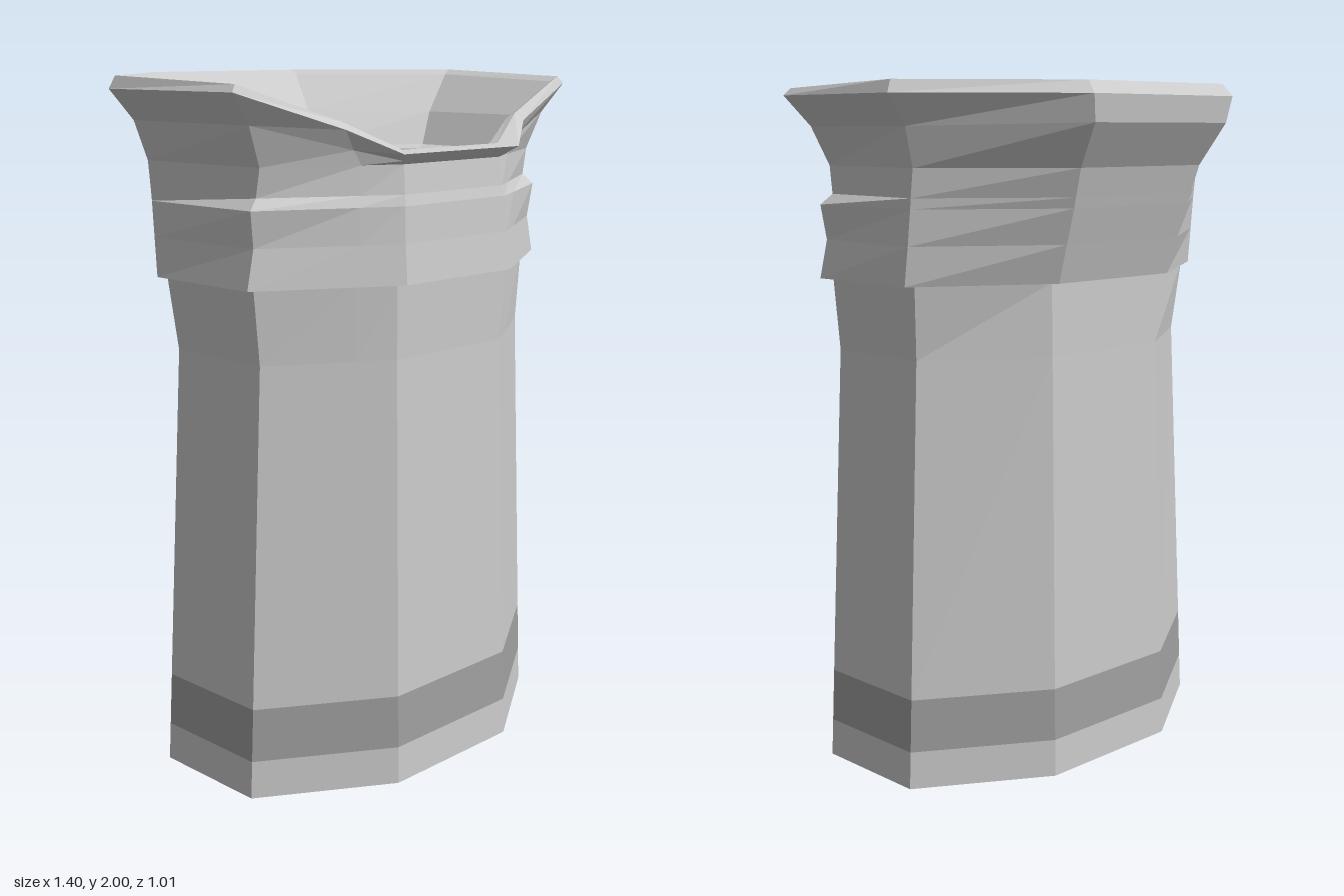
import * as THREE from 'three';

// A ring is ten points: the +x half from front to back, then its mirror image.
function mirror(half) {
  return [...half, ...half.slice().reverse().map(([x, y, z]) => [-x, y, z])];
}

// Level octagon: front corner, side-front corner, side-back corner, back corner as [x, z].
function ring(y, front, sideFront, sideBack, back) {
  const mid = [0, 1].map(i => front[i] + (sideFront[i] - front[i]) * 0.3);
  return mirror([front, mid, sideFront, sideBack, back].map(([x, z]) => [x, y, z]));
}

// Skin consecutive rings with flat-shaded quads.
function loft(name, rings, color = 0xcccccc) {
  const pos = [];
  for (let r = 0; r < rings.length - 1; r++) {
    const a = rings[r], b = rings[r + 1];
    for (let i = 0; i < a.length; i++) {
      const j = (i + 1) % a.length;
      pos.push(...a[i], ...a[j], ...b[j], ...a[i], ...b[j], ...b[i]);
    }
  }
  const geo = new THREE.BufferGeometry();
  geo.setAttribute('position', new THREE.Float32BufferAttribute(pos, 3));
  geo.computeVertexNormals();
  const mesh = new THREE.Mesh(geo, new THREE.MeshStandardMaterial({ color, flatShading: true }));
  mesh.name = name;
  return mesh;
}

// Blend two rings point by point.
const blend = (a, b, t) => a.map((p, i) => p.map((v, k) => v + (b[i][k] - v) * t));

export function createModel() {
  const group = new THREE.Group();
  group.name = 'cuff';

  // Outer sleeve
  const base = ring(0, [0.24, 0.505], [0.605, 0.275], [0.605, -0.09], [0.24, -0.32]);
  const neck = ring(1.24, [0.22, 0.465], [0.545, 0.265], [0.545, -0.075], [0.22, -0.285]);
  const sleeveTop = ring(1.45, [0.22, 0.465], [0.565, 0.265], [0.565, -0.095], [0.22, -0.282]);
  const bandLow = blend(base, neck, 0.11 / 1.24);
  const bandHigh = blend(base, neck, 0.265 / 1.24);

  // Collar, with a small fold on the front corners and sides
  const collar = [
    ring(1.45, [0.22, 0.5], [0.6, 0.28], [0.6, -0.095], [0.23, -0.32]),
    ring(1.56, [0.215, 0.488], [0.575, 0.278], [0.597, -0.107], [0.235, -0.354]),
    ring(1.66, [0.21, 0.482], [0.59, 0.285], [0.595, -0.117], [0.24, -0.386]),
    ring(1.69, [0.205, 0.474], [0.557, 0.27], [0.595, -0.12], [0.243, -0.395]),
    ring(1.77, [0.2, 0.465], [0.555, 0.283], [0.595, -0.13], [0.25, -0.42]),
  ];

  // Flared rim, low at the front and high at the back
  const flare = mirror([[0.215, 1.78, 0.478], [0.33, 1.81, 0.405], [0.605, 1.88, 0.3],
    [0.63, 1.88, -0.143], [0.275, 1.89, -0.495]]);
  const lip = mirror([[0.24, 1.8, 0.503], [0.37, 1.865, 0.415], [0.68, 1.965, 0.323],
    [0.7, 1.965, -0.157], [0.29, 1.965, -0.505]]);
  const crest = mirror([[0.2, 1.808, 0.458], [0.36, 1.885, 0.39], [0.662, 1.985, 0.313],
    [0.683, 2, -0.15], [0.28, 2, -0.475]]);
  const innerRim = mirror([[0.19, 1.8, 0.43], [0.34, 1.87, 0.375], [0.635, 1.97, 0.303],
    [0.65, 1.985, -0.135], [0.265, 1.985, -0.44]]);

  // Inside funnel, ledge and lining
  const funnel = mirror([[0.19, 1.785, 0.428], [0.28, 1.81, 0.37], [0.53, 1.87, 0.267],
    [0.53, 1.87, -0.095], [0.22, 1.88, -0.34]]);
  const ledgeOuter = ring(1.77, [0.19, 0.425], [0.465, 0.24], [0.465, -0.065], [0.185, -0.25]);
  const ledgeInner = ring(1.76, [0.17, 0.375], [0.413, 0.21], [0.413, -0.035], [0.17, -0.2]);
  const liningMid = ring(1.24, [0.19, 0.405], [0.48, 0.235], [0.48, -0.045], [0.19, -0.225]);
  const liningBase = ring(0, [0.21, 0.445], [0.54, 0.245], [0.54, -0.06], [0.21, -0.26]);

  group.add(
    loft('hem', [liningBase, base, bandLow]),
    loft('darkBand', [bandLow, bandHigh], 0xa0a0a0),
    loft('sleeve', [bandHigh, neck, sleeveTop]),
    loft('collar', [sleeveTop, ...collar]),
    loft('flaredRim', [collar[collar.length - 1], flare, lip, crest, innerRim]),
    loft('funnel', [innerRim, funnel, ledgeOuter, ledgeInner]),
    loft('lining', [ledgeInner, liningMid, liningBase]),
  );
  return group;
}
